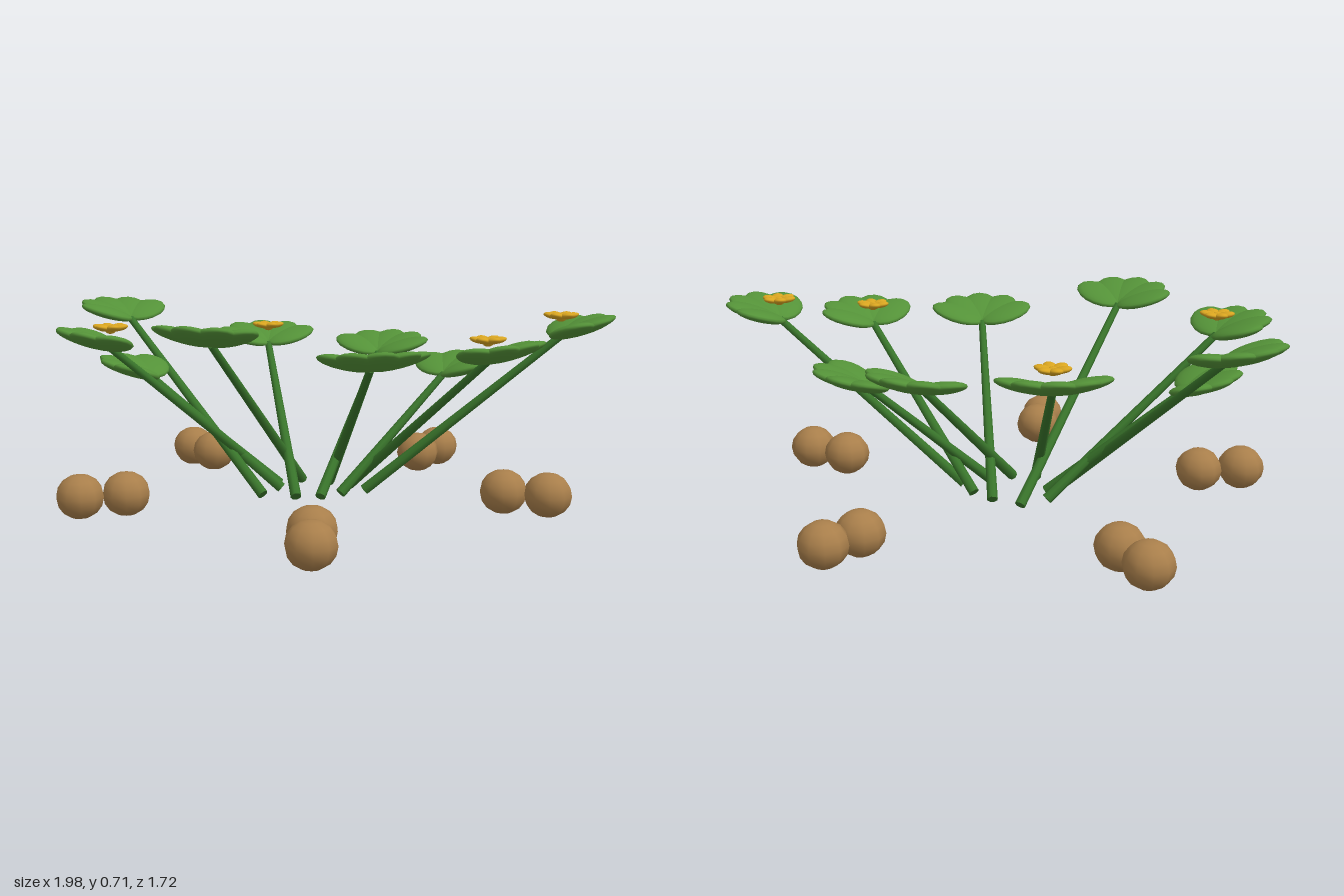
import * as THREE from 'three';

const mat = (name, color) => Object.assign(new THREE.MeshStandardMaterial({ color }), { name });

export function createModel() {
  const model = new THREE.Group();
  model.name = 'groundnutPlant';
  const leafGreen = mat('leaf green', 0x549238);
  const stemGreen = mat('stem green', 0x39752b);
  const nutBrown = mat('nut brown', 0xa97f4b);
  const petalYellow = mat('petal yellow', 0xd9a520);

  const add = (parent, name, geo, material) => {
    const mesh = new THREE.Mesh(geo, material);
    mesh.name = name;
    parent.add(mesh);
    return mesh;
  };

  // Flattened ellipsoid reaching out from the origin along +x
  const petalGeo = (len, thick, width, offset) =>
    new THREE.SphereGeometry(1, 16, 10).scale(len, thick, width).translate(offset, 0, 0);
  const leafletGeo = petalGeo(0.102, 0.021, 0.074, 0.098);
  const flowerPetalGeo = petalGeo(0.031, 0.011, 0.023, 0.031);
  const flowerHeartGeo = new THREE.SphereGeometry(0.02, 12, 8).scale(1, 0.75, 1);

  // Ring or fan of petals, each raised at its tip
  const fan = (parent, name, geo, material, angles, rise) => {
    for (const a of angles) {
      const petal = add(parent, name, geo, material);
      petal.rotation.order = 'YZX';
      petal.rotation.set(0, a, rise);
    }
  };

  // Straight tapered stem between two points
  const addStem = (base, tip) => {
    const dir = tip.clone().sub(base);
    const stem = add(model, 'stem', new THREE.CylinderGeometry(0.013, 0.019, dir.length(), 8), stemGreen);
    stem.position.copy(base).addScaledVector(dir, 0.5);
    stem.quaternion.setFromUnitVectors(new THREE.Vector3(0, 1, 0), dir.normalize());
  };

  const leafAngles = [-2, -1, 0, 1, 2].map((i) => i * 0.61);
  const flowerAngles = [0, 1, 2, 3, 4, 5].map((i) => (i * Math.PI) / 3);

  // Stalks: base x, base z, tip x, tip y, tip z, has flower
  const stalks = [
    [-0.23, 0.05, -0.80, 0.64, -0.37, 0],
    [-0.18, -0.065, -0.65, 0.46, -0.065, 0],
    [-0.20, -0.15, -0.72, 0.59, 0.21, 1],
    [-0.125, -0.23, -0.335, 0.63, 0.425, 0],
    [-0.02, -0.20, 0.17, 0.55, 0.365, 0],
    [0.06, -0.15, 0.545, 0.56, 0.20, 1],
    [0.12, -0.065, 0.80, 0.62, -0.065, 1],
    [0.04, 0.0, 0.395, 0.455, -0.28, 0],
    [-0.025, 0.06, 0.14, 0.51, -0.455, 0],
    [-0.11, 0.07, -0.285, 0.54, -0.47, 1],
  ];
  for (const [bx, bz, x, y, z, hasFlower] of stalks) {
    const tip = new THREE.Vector3(x, y, z);
    addStem(new THREE.Vector3(bx, 0.06, bz), tip);

    // Leaf opens away from the plant's middle and tilts up outwards
    const leaf = new THREE.Group();
    leaf.name = 'leaf';
    leaf.position.copy(tip);
    leaf.rotation.order = 'YZX';
    leaf.rotation.set(0, Math.atan2(bz - z, x - bx), 0.13);
    fan(leaf, 'leaflet', leafletGeo, leafGreen, leafAngles, 0.23);
    model.add(leaf);

    if (hasFlower) {
      const flower = new THREE.Group();
      flower.name = 'flower';
      flower.position.set(x, y + 0.065, z);
      fan(flower, 'flowerPetal', flowerPetalGeo, petalYellow, flowerAngles, 0.2);
      add(flower, 'flowerHeart', flowerHeartGeo, petalYellow);
      model.add(flower);
    }
  }

  // Pairs of nuts lying around the plant: x, y, z
  const nutGeo = new THREE.SphereGeometry(0.083, 10, 8).scale(1, 0.93, 1);
  const nuts = [
    [-0.63, 0.09, -0.685], [-0.525, 0.092, -0.575],
    [0.365, 0.09, -0.785], [0.29, 0.087, -0.66],
    [0.61, 0.092, 0.055], [0.76, 0.092, 0.095],
    [0.01, 0.085, 0.62], [0.025, 0.078, 0.77],
    [-0.68, 0.09, 0.21], [-0.825, 0.09, 0.27],
  ];
  nuts.forEach(([x, y, z], i) => {
    const nut = add(model, 'nut', nutGeo, nutBrown);
    nut.position.set(x, y, z);
    nut.rotation.y = i * 0.7;
  });
  return model;
}
